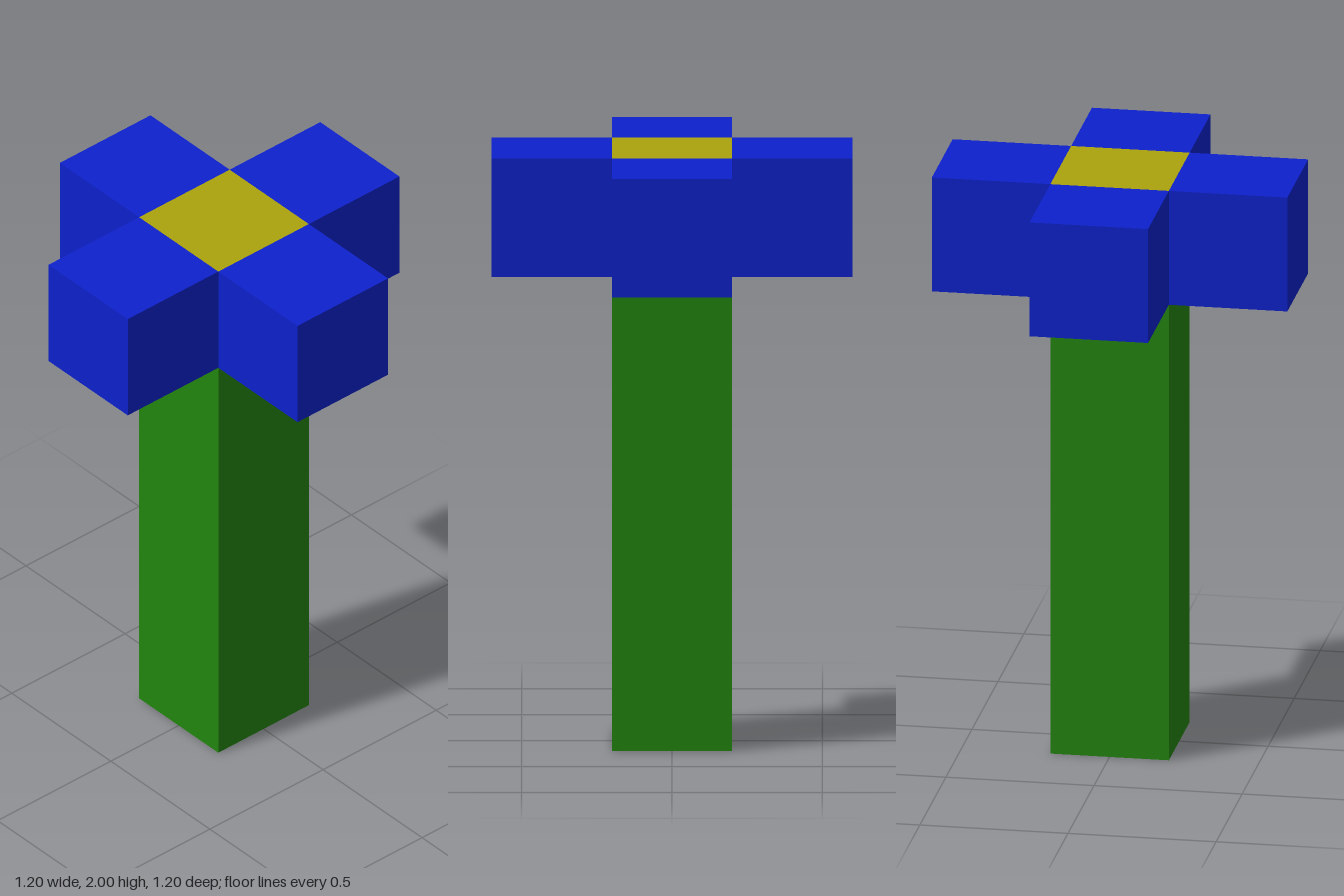
import * as THREE from 'three';

const UNIT = 0.4; // edge of one block

export function createModel() {
  const flower = new THREE.Group();
  flower.name = 'blockFlower';

  const stemGreen = new THREE.MeshStandardMaterial({ color: 0x23860f });
  stemGreen.name = 'stem green';
  const petalBlue = new THREE.MeshStandardMaterial({ color: 0x0d21cc });
  petalBlue.name = 'petal blue';
  const centreYellow = new THREE.MeshStandardMaterial({ color: 0xaba30d });
  centreYellow.name = 'centre yellow';

  const addBlock = (name, material, height, x, y, z) => {
    const block = new THREE.Mesh(new THREE.BoxGeometry(UNIT, height, UNIT), material);
    block.name = name;
    block.position.set(x, y, z);
    flower.add(block);
  };

  // Square stem, four blocks tall
  addBlock('stem', stemGreen, 4 * UNIT, 0, 2 * UNIT, 0);

  // Flower centre, flush with the petals
  const headY = 4.5 * UNIT;
  addBlock('flowerCentre', centreYellow, UNIT, 0, headY, 0);

  // Four petals around the centre
  const petals = { leftPetal: [1, 0], rightPetal: [-1, 0], frontPetal: [0, 1], backPetal: [0, -1] };
  for (const [name, [x, z]] of Object.entries(petals)) {
    addBlock(name, petalBlue, UNIT, x * UNIT, headY, z * UNIT);
  }

  return flower;
}
